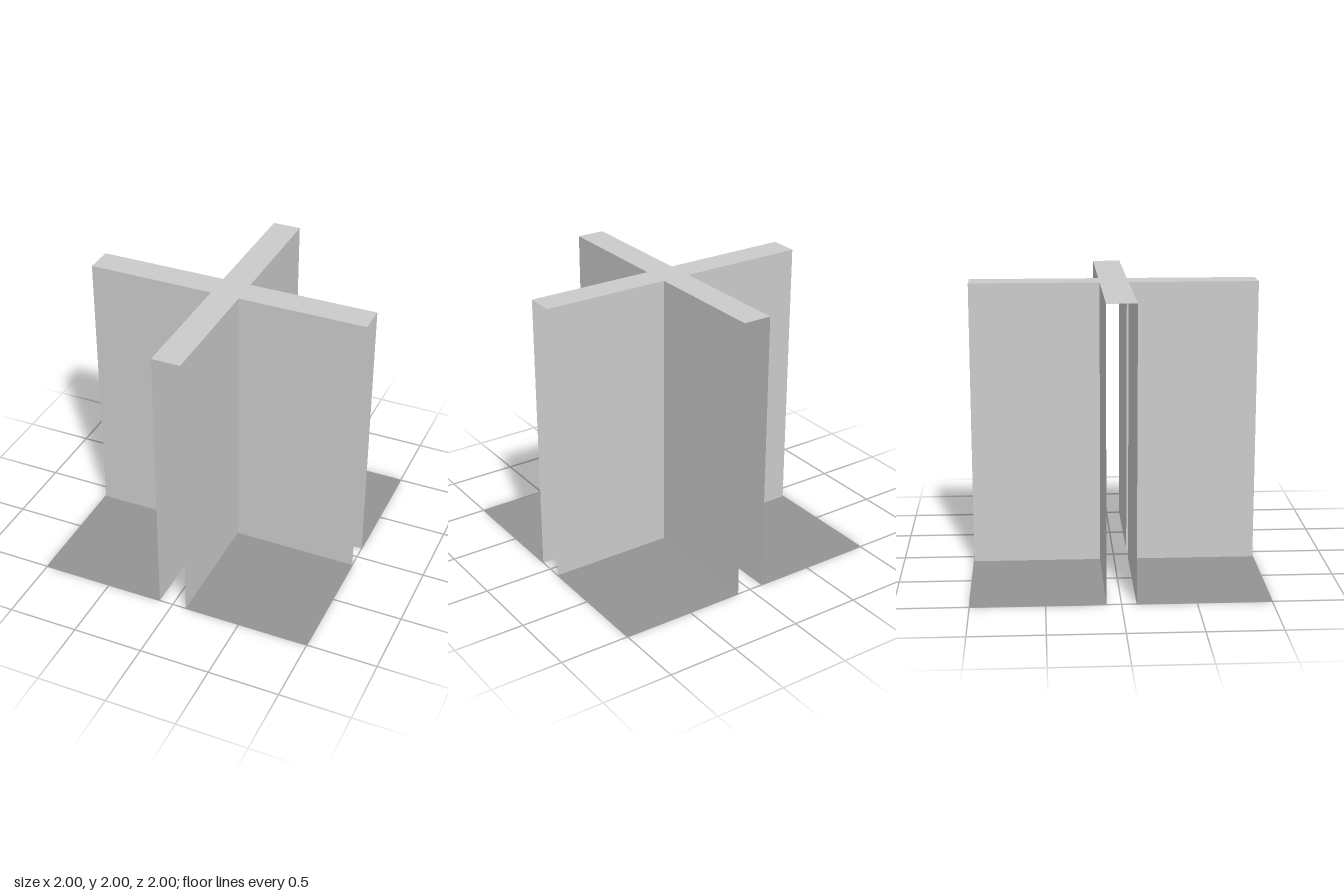
import * as THREE from 'three';

const INNER = 0.1, OUTER = 1, HEIGHT = 2;
const SPAN = OUTER - INNER, MID = (OUTER + INNER) / 2;

export function createModel() {
  const model = new THREE.Group();
  model.name = 'crossWalls';

  const wallGray = new THREE.MeshStandardMaterial({ color: 0xcccccc, side: THREE.DoubleSide });
  wallGray.name = 'wallGray';
  const floorGray = new THREE.MeshStandardMaterial({ color: 0x949494, side: THREE.DoubleSide });
  floorGray.name = 'floorGray';

  const add = (parent, name, geometry, material) => {
    const mesh = new THREE.Mesh(geometry, material);
    mesh.name = name;
    parent.add(mesh);
  };

  // Four corner bays, each with a floor and two walls meeting at the inner corner
  const floor = new THREE.PlaneGeometry(SPAN, SPAN).rotateX(-Math.PI / 2).translate(MID, 0, MID);
  const wallAcross = new THREE.PlaneGeometry(SPAN, HEIGHT).translate(MID, HEIGHT / 2, INNER);
  const wallAlong = new THREE.PlaneGeometry(SPAN, HEIGHT).rotateY(Math.PI / 2).translate(INNER, HEIGHT / 2, MID);
  for (let i = 0; i < 4; i++) {
    const bay = new THREE.Group();
    bay.name = 'cornerBay' + (i + 1);
    add(bay, 'floor', floor, floorGray);
    add(bay, 'wallAcross', wallAcross, wallGray);
    add(bay, 'wallAlong', wallAlong, wallGray);
    bay.rotation.y = i * Math.PI / 2;
    model.add(bay);
  }

  // Cross-shaped cap joining the wall tops; arm ends and underside stay open
  const a = INNER, b = OUTER;
  const cross = new THREE.Shape([
    [a, a], [a, b], [-a, b], [-a, a], [-b, a], [-b, -a],
    [-a, -a], [-a, -b], [a, -b], [a, -a], [b, -a], [b, a],
  ].map(([x, y]) => new THREE.Vector2(x, y)));
  add(model, 'crossCap', new THREE.ShapeGeometry(cross).rotateX(-Math.PI / 2).translate(0, HEIGHT, 0), wallGray);

  return model;
}
